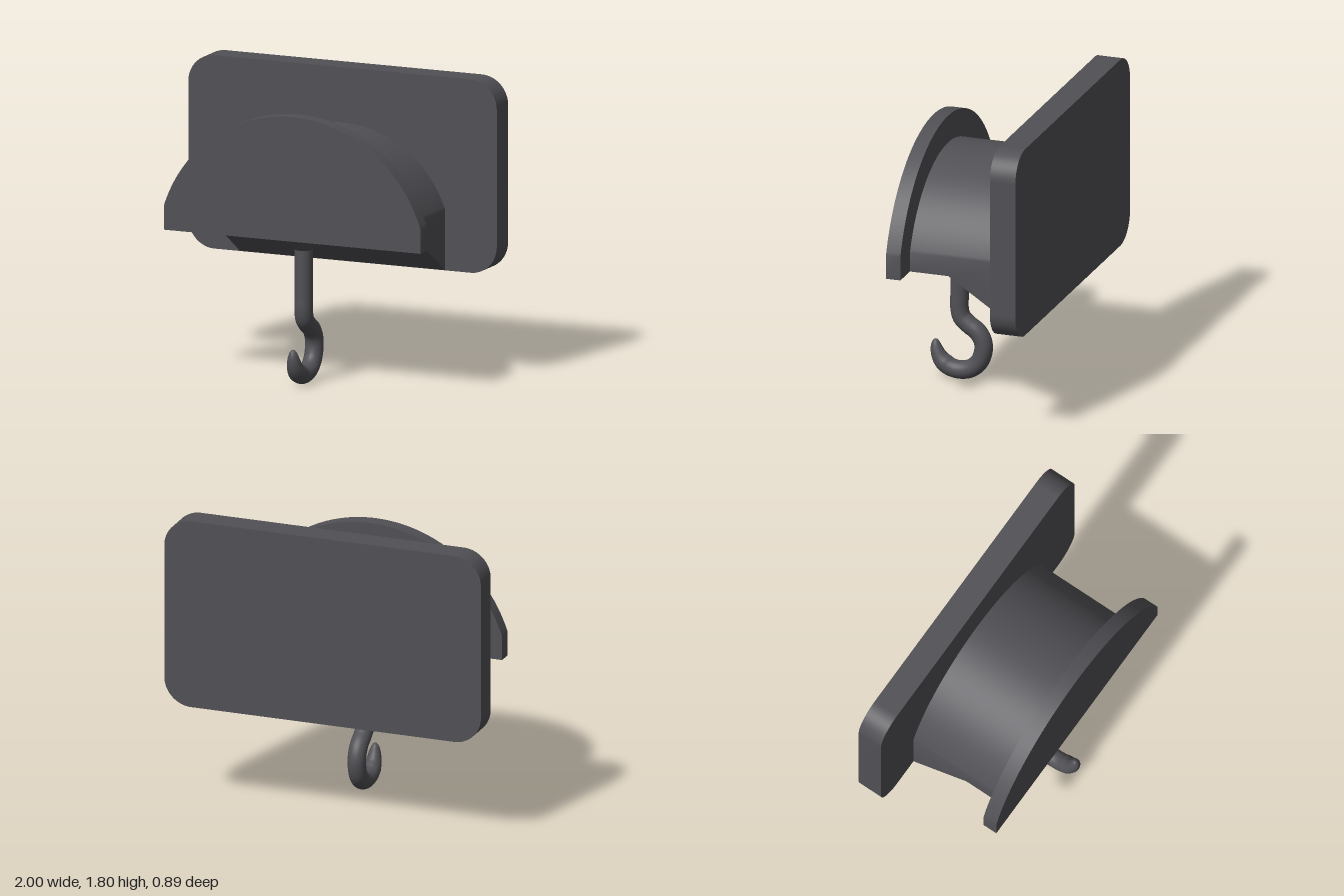
import * as THREE from 'three';
import { toCreasedNormals } from 'three/addons/utils/BufferGeometryUtils.js';

const material = new THREE.MeshStandardMaterial({ color: 0x515055 });
const BASE = 0.883;   // underside of the arched parts
const ARC_Y = 0.758;  // shared centre of both arches
const HOOK_Z = 0.268; // axis of the hook shank

function part(name, geometry) {
  const mesh = new THREE.Mesh(geometry, material);
  mesh.name = name;
  return mesh;
}

// Flat bottom, short upright sides and a circular top
function archShape(halfWidth, radius) {
  const a = Math.acos(halfWidth / radius);
  const s = new THREE.Shape();
  s.moveTo(-halfWidth, BASE);
  s.lineTo(halfWidth, BASE);
  s.absarc(0, ARC_Y, radius, a, Math.PI - a, false);
  s.closePath();
  return s;
}

function extrude(shape, z0, z1, steps = 1) {
  const g = new THREE.ExtrudeGeometry(shape, { depth: z1 - z0, steps, bevelEnabled: false, curveSegments: 48 });
  return g.translate(0, 0, z0);
}

function roundedRect(x, y0, y1, r) {
  const s = new THREE.Shape();
  s.moveTo(-x + r, y0);
  s.absarc(x - r, y0 + r, r, -Math.PI / 2, 0, false);
  s.absarc(x - r, y1 - r, r, 0, Math.PI / 2, false);
  s.absarc(-x + r, y1 - r, r, Math.PI / 2, Math.PI, false);
  s.absarc(-x + r, y0 + r, r, Math.PI, Math.PI * 1.5, false);
  return s;
}

// Arched body whose underside slopes down to the foot of the wall plate
function bodyGeometry() {
  const z0 = -0.28, z1 = 0.34;
  const g = extrude(archShape(0.665, 0.708), z0, z1, 2);
  const p = g.attributes.position;
  for (let i = 0; i < p.count; i++) {
    const z = p.getZ(i);
    if (z < z0 + 0.01 && p.getY(i) < BASE + 0.01) p.setY(i, 0.635);
    else if (z > z0 + 0.01 && z < z1 - 0.01) p.setZ(i, 0.1);
  }
  return toCreasedNormals(g, 0.4);
}

// Round bar along the hook's path, tapering to a blunt tip
function hookGeometry() {
  const points = [
    [HOOK_Z, 0.86], [HOOK_Z, 0.74], [HOOK_Z, 0.62], [HOOK_Z, 0.52], [HOOK_Z, 0.44],
    [0.253, 0.385], [0.207, 0.342], [0.158, 0.308],
    [0.126, 0.26], [0.117, 0.205], [0.14, 0.125], [0.195, 0.072], [0.268, 0.055],
    [0.335, 0.07], [0.385, 0.112], [0.41, 0.165], [0.42, 0.232],
  ].map(([z, y]) => new THREE.Vector3(0, y, z));
  const path = new THREE.CatmullRomCurve3(points, false, 'centripetal');
  const n = 160, sides = 24, taperStart = 0.87;
  const g = new THREE.TubeGeometry(path, n, 0.055, sides, false);
  const p = g.attributes.position, v = new THREE.Vector3();
  for (let i = 0; i <= n; i++) {
    const t = Math.max(0, (i / n - taperStart) / (1 - taperStart));
    const scale = (1 - 0.5 * t) * Math.sqrt(1 - t ** 5);
    const c = path.getPointAt(i / n);
    for (let j = 0; j <= sides; j++) {
      const k = i * (sides + 1) + j;
      v.fromBufferAttribute(p, k).sub(c).multiplyScalar(scale).add(c);
      p.setXYZ(k, v.x, v.y, v.z);
    }
  }
  g.computeVertexNormals();
  return g;
}

export function createModel() {
  const model = new THREE.Group();
  model.name = 'wallHook';
  model.add(
    part('wallPlate', toCreasedNormals(extrude(roundedRect(1, 0.634, 1.798, 0.17), -0.44, -0.28), 0.4)),
    part('archedBody', bodyGeometry()),
    part('frontFlange', toCreasedNormals(extrude(archShape(0.832, 0.875), 0.34, 0.43), 0.4)),
  );

  // Conical collar where the shank leaves the body
  const collar = part('hookCollar', new THREE.CylinderGeometry(0.13, 0.055, 0.075, 40));
  collar.position.set(0, BASE - 0.0375, HOOK_Z);
  model.add(collar, part('hook', hookGeometry()));
  return model;
}
